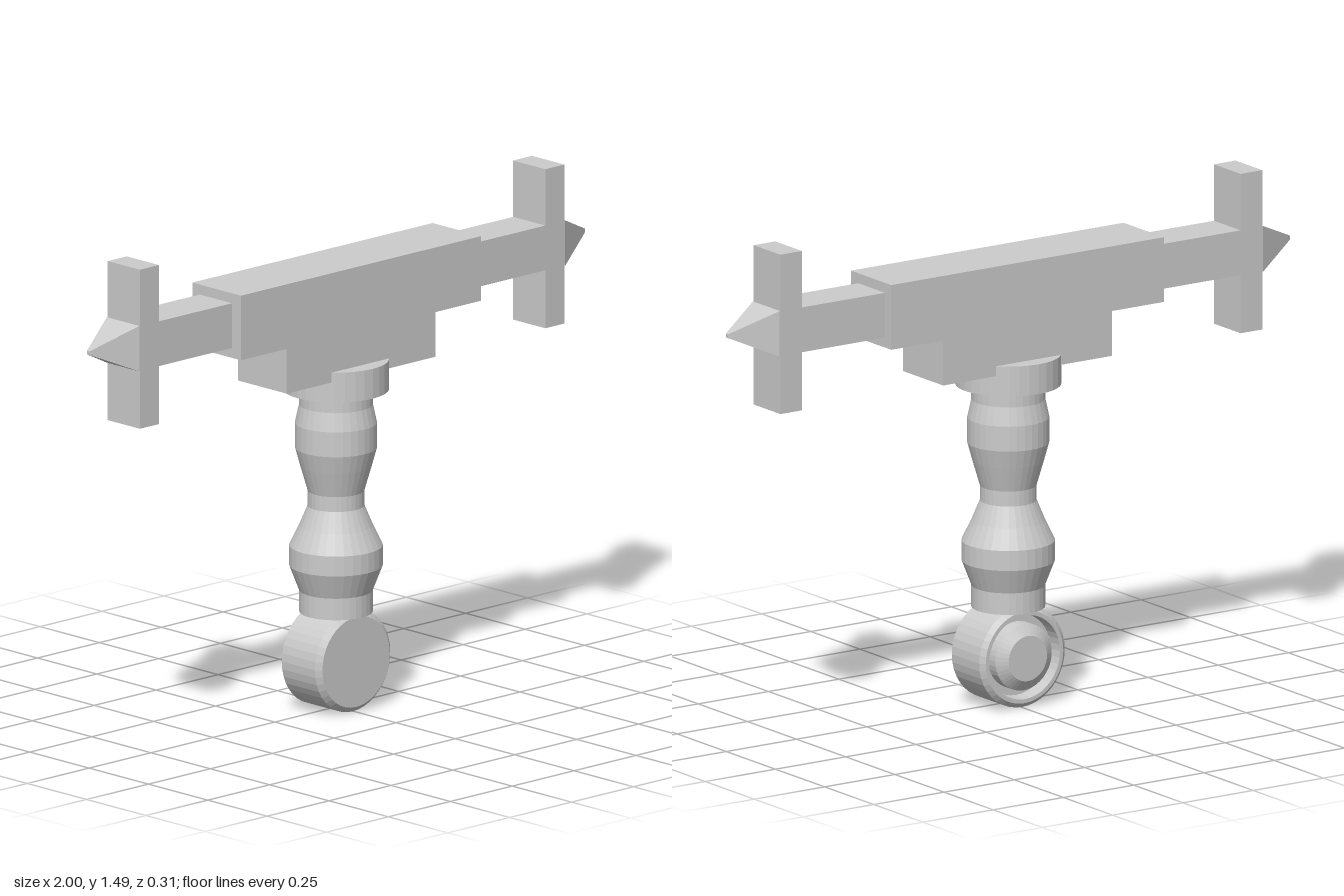
import * as THREE from 'three';

export function createModel() {
  const model = new THREE.Group();
  const mat = new THREE.MeshStandardMaterial({ color: 0xcccccc, flatShading: true });

  function add(name, geometry, x = 0, y = 0, z = 0) {
    const mesh = new THREE.Mesh(geometry, mat);
    mesh.name = name;
    mesh.position.set(x, y, z);
    model.add(mesh);
    return mesh;
  }
  // Box given by its x, y ranges and its depth
  const box = (name, x0, x1, y0, y1, depth, z = 0) =>
    add(name, new THREE.BoxGeometry(x1 - x0, y1 - y0, depth), (x0 + x1) / 2, (y0 + y1) / 2, z);
  const lathe = (points, sides) =>
    new THREE.LatheGeometry(points.map(([r, h]) => new THREE.Vector2(r, h)), sides);

  // Stepped head
  box('headBlock', -0.485, 0.485, 1.155, 1.35, 0.205);
  box('headLowerBlock', -0.3, 0.3, 1.02, 1.155, 0.205);

  // Arms, cross posts and pointed tips, mirrored
  const armY = 1.2525;
  for (const s of [1, -1]) {
    const side = s > 0 ? 'left' : 'right';
    const span = (a, b) => (s > 0 ? [a, b] : [-b, -a]);
    box(side + 'Arm', ...span(0.485, 0.86), 1.185, 1.32, 0.136, -0.003);
    box(side + 'CrossPost', ...span(0.78, 0.857), 1.01, 1.49, 0.136, -0.003);
    const tip = new THREE.CylinderGeometry(0.008, 0.0685 * Math.SQRT2, 0.14, 4);
    tip.rotateY(Math.PI / 4);
    tip.rotateZ(-s * Math.PI / 2);
    add(side + 'Tip', tip, s * 0.93, armY, -0.003);
  }

  // Collar under the head
  add('collar', new THREE.CylinderGeometry(0.155, 0.155, 0.09, 32), -0.003, 1.005, 0);

  // Turned grip
  add('grip', lathe([
    [0, 0.29], [0.108, 0.29], [0.108, 0.355], [0.137, 0.43], [0.137, 0.49],
    [0.108, 0.55], [0.083, 0.61], [0.083, 0.655], [0.105, 0.73], [0.12, 0.785],
    [0.12, 0.86], [0.108, 0.915], [0.108, 0.97], [0, 0.97],
  ], 32), -0.003);

  // Round pommel: chamfered front, recessed back with a raised boss
  const pommel = lathe([
    [0, -0.1], [0.068, -0.1], [0.1, -0.078], [0.1, -0.04], [0.122, -0.04],
    [0.126, -0.083], [0.138, -0.083], [0.152, -0.07], [0.152, 0.07], [0.136, 0.085], [0, 0.085],
  ], 40);
  pommel.rotateX(Math.PI / 2);
  add('pommel', pommel, -0.003, 0.152, 0);

  return model;
}
